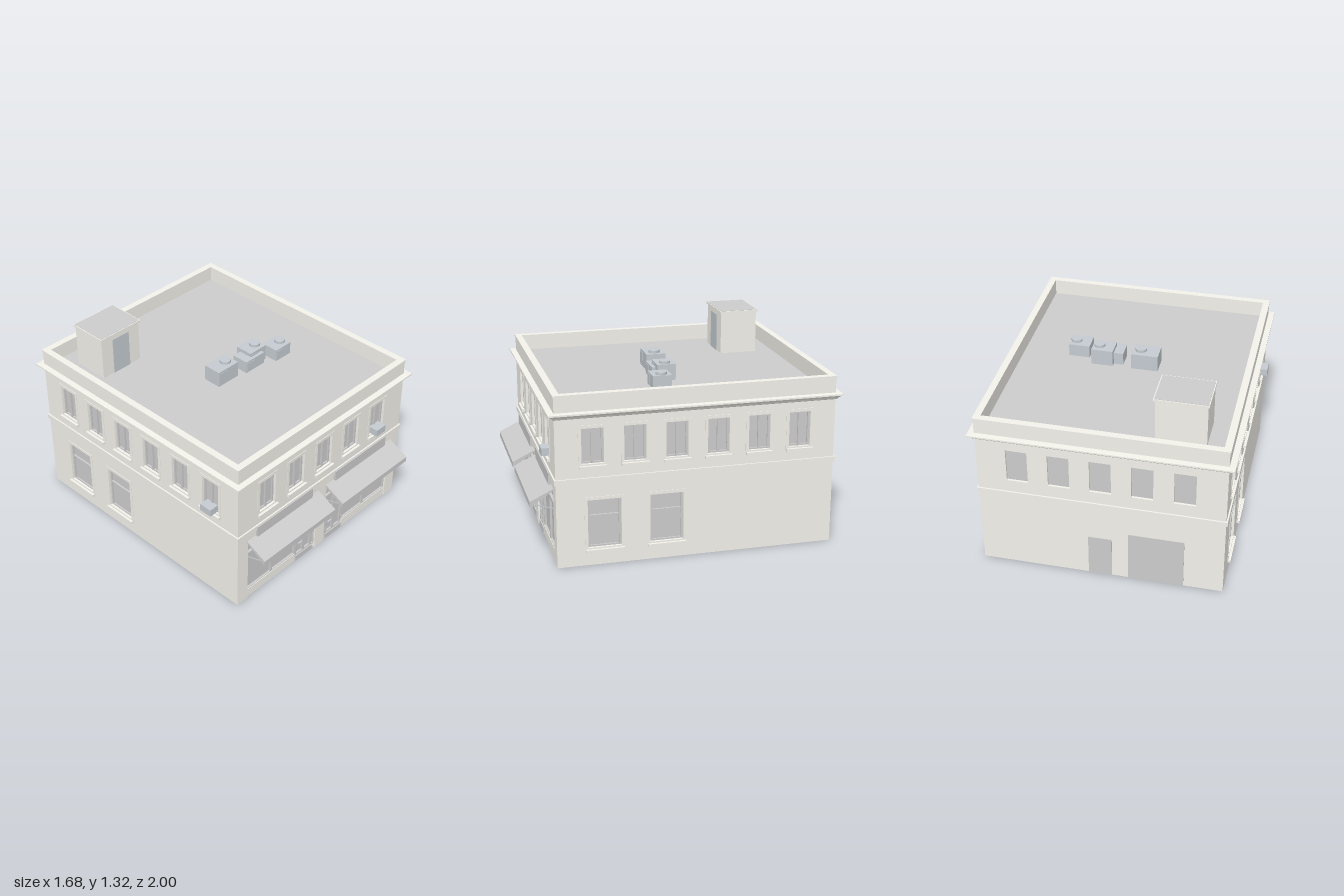
import * as THREE from 'three';

const mat = (color) => new THREE.MeshStandardMaterial({ color, side: THREE.DoubleSide });
const WALL = mat(0xf2f1ea), GREY = mat(0xcccccc), METAL = mat(0xc4cbd0), FRAME = mat(0xdededa);
const ZC = -0.055, HX = 0.797, HZ = 0.905, DECK = 1.015;

function add(parent, name, geo, material) {
  const m = new THREE.Mesh(geo, material);
  m.name = name;
  parent.add(m);
  return m;
}

// Box given by its extents on each axis
function box(parent, name, material, x0, x1, y0, y1, z0, z1) {
  const m = add(parent, name, new THREE.BoxGeometry(x1 - x0, y1 - y0, z1 - z0), material);
  m.position.set((x0 + x1) / 2, (y0 + y1) / 2, (z0 + z1) / 2);
  return m;
}

const rectPoints = (x0, x1, y0, y1) =>
  [[x0, y0], [x1, y0], [x1, y1], [x0, y1]].map(([x, y]) => new THREE.Vector2(x, y));

// Flat shape with rectangular holes, each hole [x0, x1, y0, y1]
function holedShape(points, holes) {
  const s = new THREE.Shape(points);
  for (const h of holes) s.holes.push(new THREE.Path(rectPoints(...h)));
  return s;
}

const extrude = (shape, depth) => new THREE.ExtrudeGeometry(shape, { depth, bevelEnabled: false });

// Moulding round the building: profile of [offset from wall, height], bottom to top
function moulding(parent, name, profile) {
  const corners = [[-1, 1], [1, 1], [1, -1], [-1, -1]];
  const pos = [];
  for (let i = 0; i < profile.length - 1; i++)
    for (let k = 0; k < 4; k++) {
      const at = ([o, y], c) => [c[0] * (HX + o), y, ZC + c[1] * (HZ + o)];
      const p = profile[i], q = profile[i + 1], c = corners[k], d = corners[(k + 1) % 4];
      pos.push(...at(p, c), ...at(p, d), ...at(q, d), ...at(p, c), ...at(q, d), ...at(q, c));
    }
  const geo = new THREE.BufferGeometry();
  geo.setAttribute('position', new THREE.Float32BufferAttribute(pos, 3));
  geo.computeVertexNormals();
  add(parent, name, geo, WALL);
}

// Flat frame around an opening
function frame(parent, name, material, x0, x1, y0, y1, t, z0, z1) {
  const shape = holedShape(rectPoints(x0, x1, y0, y1), [[x0 + t, x1 - t, y0 + t, y1 - t]]);
  add(parent, name, extrude(shape, z1 - z0), material).position.z = z0;
}

// Wall sheet facing +z at z = 0, notches open at the ground
function wall(name, halfWidth, holes, notches = []) {
  const g = new THREE.Group();
  g.name = name;
  const pts = [[-halfWidth, 0]];
  for (const [a, b, h] of notches) pts.push([a, 0], [a, h], [b, h], [b, 0]);
  pts.push([halfWidth, 0], [halfWidth, DECK], [-halfWidth, DECK]);
  const shape = holedShape(pts.map(([x, y]) => new THREE.Vector2(x, y)), holes);
  add(g, name + 'Sheet', new THREE.ShapeGeometry(shape), WALL);
  return g;
}

// Window with casing, sill, sash and either an upright or a cross bar
function windowUnit(parent, cx, w, y0, y1, tall) {
  const g = new THREE.Group();
  g.name = 'window';
  g.position.x = cx;
  parent.add(g);
  const h = w / 2;
  box(g, 'glass', GREY, -h, h, y0, y1, -0.03, -0.025);
  frame(g, 'casing', WALL, -h - 0.021, h + 0.021, y0 - 0.018, y1 + 0.018, 0.02, -0.03, 0.003);
  box(g, 'sill', WALL, -h - 0.018, h + 0.018, y0 - 0.026, y0 - 0.008, -0.03, 0.02);
  frame(g, 'sash', FRAME, -h, h, y0, y1, 0.012, -0.027, -0.014);
  if (tall) {
    const yb = y0 + (y1 - y0) * 0.65;
    box(g, 'crossBar', FRAME, -h, h, yb - 0.006, yb + 0.006, -0.027, -0.012);
  } else box(g, 'mullion', FRAME, -0.007, 0.007, y0, y1, -0.027, -0.012);
}

function windowCooler(parent, x) {
  box(parent, 'windowCooler', METAL, x - 0.045, x + 0.045, 0.672, 0.722, -0.02, 0.047);
}

// Shop front on the +x half; side = -1 mirrors its layout
function shopFront(parent, side) {
  const g = new THREE.Group();
  g.name = 'shopFront';
  parent.add(g);
  const span = (a, c) => [Math.min(a * side, c * side), Math.max(a * side, c * side)];
  const b = (name, m, a, c, ...rest) => box(g, name, m, ...span(a, c), ...rest);
  const f = (name, a, c, y0, y1, t) => frame(g, name, FRAME, ...span(a, c), y0, y1, t, -0.026, -0.012);
  b('shopGlass', GREY, 0.04, 0.71, 0.03, 0.5, -0.03, -0.026);
  b('plinth', WALL, 0.24, 0.71, 0, 0.065, -0.03, -0.008);
  b('doorStep', GREY, 0.07, 0.235, 0, 0.04, -0.06, -0.004);
  b('transomBar', FRAME, 0.04, 0.71, 0.362, 0.385, -0.028, -0.008);
  for (const x of [0.04, 0.704]) b('jamb', WALL, x, x + 0.006, 0, 0.5, -0.03, 0);
  b('lintel', WALL, 0.04, 0.71, 0.494, 0.5, -0.03, 0);
  f('displayFrame', 0.238, 0.468, 0.062, 0.362, 0.008);
  f('displayFrame', 0.468, 0.71, 0.062, 0.362, 0.008);
  f('sideLight', 0.04, 0.075, 0.03, 0.362, 0.008);
  for (const [a, c] of [[0.078, 0.152], [0.152, 0.232]]) f('doorLeaf', a, c, 0.04, 0.362, 0.01);
  // Handle sits on the same hand of both doors
  b('doorHandle', METAL, ...(side > 0 ? [0.095, 0.13] : [0.17, 0.205]), 0.125, 0.135, -0.015, -0.004);
  b('signBoard', GREY, 0.115, 0.635, 0.5, 0.577, -0.005, 0.018);

  // Sloping awning, deeper towards its front edge, with two stays
  const profile = [[0, 0.5], [0.15, 0.427], [0.15, 0.39], [0, 0.488]];
  const awning = add(g, 'awning', extrude(new THREE.Shape(profile.map((p) => new THREE.Vector2(...p))), 0.677), GREY);
  awning.rotation.y = -Math.PI / 2;
  awning.position.x = side > 0 ? 0.714 : -0.037;
  for (const x of [0.045, 0.705]) {
    const stay = add(g, 'awningStay', new THREE.BoxGeometry(0.006, 0.006, 0.156), METAL);
    stay.position.set(x * side, 0.39, 0.073);
    stay.rotation.x = -0.32;
  }
}

function roofUnit(parent, x0, x1, z0, z1, top, fan) {
  const g = new THREE.Group();
  g.name = 'roofUnit';
  parent.add(g);
  box(g, 'unitBody', METAL, x0, x1, DECK, top, z0, z1);
  box(g, 'unitPanel', METAL, x0 + 0.005, (x0 + x1) / 2 - 0.01, DECK + 0.015, top - 0.012, z1, z1 + 0.003);
  if (!fan) return;
  const c = add(g, 'unitFan', new THREE.CylinderGeometry(0.037, 0.037, 0.018, 24), METAL);
  c.position.set(fan[0], top + 0.009, fan[1]);
}

export function createModel() {
  const model = new THREE.Group();
  model.name = 'cornerShopBuilding';

  const frontX = [-0.535, -0.267, 0, 0.267, 0.535];
  const sideX = [-2.5, -1.5, -0.5, 0.5, 1.5, 2.5].map((i) => i * 0.268);
  const lowX = [-0.6, -0.2];
  const upper = (x) => [x - 0.089, x + 0.089, 0.655, 0.922];
  const lower = (x) => [x - 0.126, x + 0.126, 0.098, 0.454];

  // Front wall
  const front = wall('frontWall', HX, frontX.map(upper), [[-0.71, -0.04, 0.5], [0.04, 0.71, 0.5]]);
  front.position.z = ZC + HZ;
  for (const x of frontX) windowUnit(front, x, 0.138, 0.672, 0.905, false);
  for (const s of [-1, 1]) shopFront(front, s);
  windowCooler(front, 0.535);
  model.add(front);

  // Side walls, turned half a circle from one another
  for (const s of [1, -1]) {
    const side = wall(s > 0 ? 'leftWall' : 'rightWall', HZ, [...sideX.map(upper), ...lowX.map(lower)]);
    side.rotation.y = (s * Math.PI) / 2;
    side.position.set(s * HX, 0, ZC);
    for (const x of sideX) windowUnit(side, x, 0.138, 0.672, 0.905, false);
    for (const x of lowX) windowUnit(side, x, 0.212, 0.115, 0.437, true);
    if (s < 0) windowCooler(side, 0.67);
    model.add(side);
  }

  // Back wall with plain recessed windows and service doors
  const back = wall('backWall', HX, frontX.map((x) => [x - 0.069, x + 0.069, 0.672, 0.905]));
  back.rotation.y = Math.PI;
  back.position.z = ZC - HZ;
  for (const x of frontX) {
    box(back, 'backPane', GREY, x - 0.069, x + 0.069, 0.672, 0.905, -0.02, -0.015);
    frame(back, 'backReveal', WALL, x - 0.072, x + 0.072, 0.669, 0.908, 0.003, -0.02, 0);
  }
  box(back, 'backDoor', GREY, -0.085, 0.07, 0, 0.3, -0.005, 0.004);
  box(back, 'loadingDoor', GREY, 0.177, 0.54, 0, 0.364, -0.005, 0.004);
  model.add(back);

  // Belt course, flared cornice, parapet and roof deck
  moulding(model, 'beltCourse', [[0, 0.551], [0.01, 0.551], [0.01, 0.585], [0, 0.585]]);
  moulding(model, 'cornice', [[0, 0.968], [0.008, 0.972], [0.016, 0.984], [0.024, 0.99],
    [0.03, 0.998], [0.04, 1.0], [0.04, 1.01], [0, 1.012]]);
  moulding(model, 'parapet', [[0, 1.0], [0, 1.11], [0.005, 1.11], [0.005, 1.122], [-0.04, 1.122], [-0.04, DECK]]);
  const deck = add(model, 'roofDeck', new THREE.PlaneGeometry(2 * HX, 2 * HZ), GREY);
  deck.rotation.x = -Math.PI / 2;
  deck.position.set(0, DECK, ZC);

  // Stair house on the roof
  const house = new THREE.Group();
  house.name = 'stairHouse';
  model.add(house);
  box(house, 'stairHouseBody', WALL, -0.633, -0.309, DECK, 1.306, -0.795, -0.538);
  box(house, 'stairHouseCap', WALL, -0.641, -0.296, 1.306, 1.319, -0.806, -0.53);
  box(house, 'stairHouseRoof', GREY, -0.635, -0.302, 1.315, 1.321, -0.8, -0.536);
  box(house, 'stairHouseDoor', METAL, -0.54, -0.4, DECK, 1.275, -0.545, -0.534);

  // Cooling units on the roof
  roofUnit(model, -0.174, 0.006, -0.05, 0.079, 1.125, [-0.05, 0.015]);
  roofUnit(model, 0.065, 0.237, -0.02, 0.1, 1.1, null);
  roofUnit(model, 0.13, 0.277, -0.05, 0.075, 1.125, [0.232, 0.015]);
  roofUnit(model, 0.306, 0.447, 0.02, 0.147, 1.1, [0.407, 0.083]);

  return model;
}
